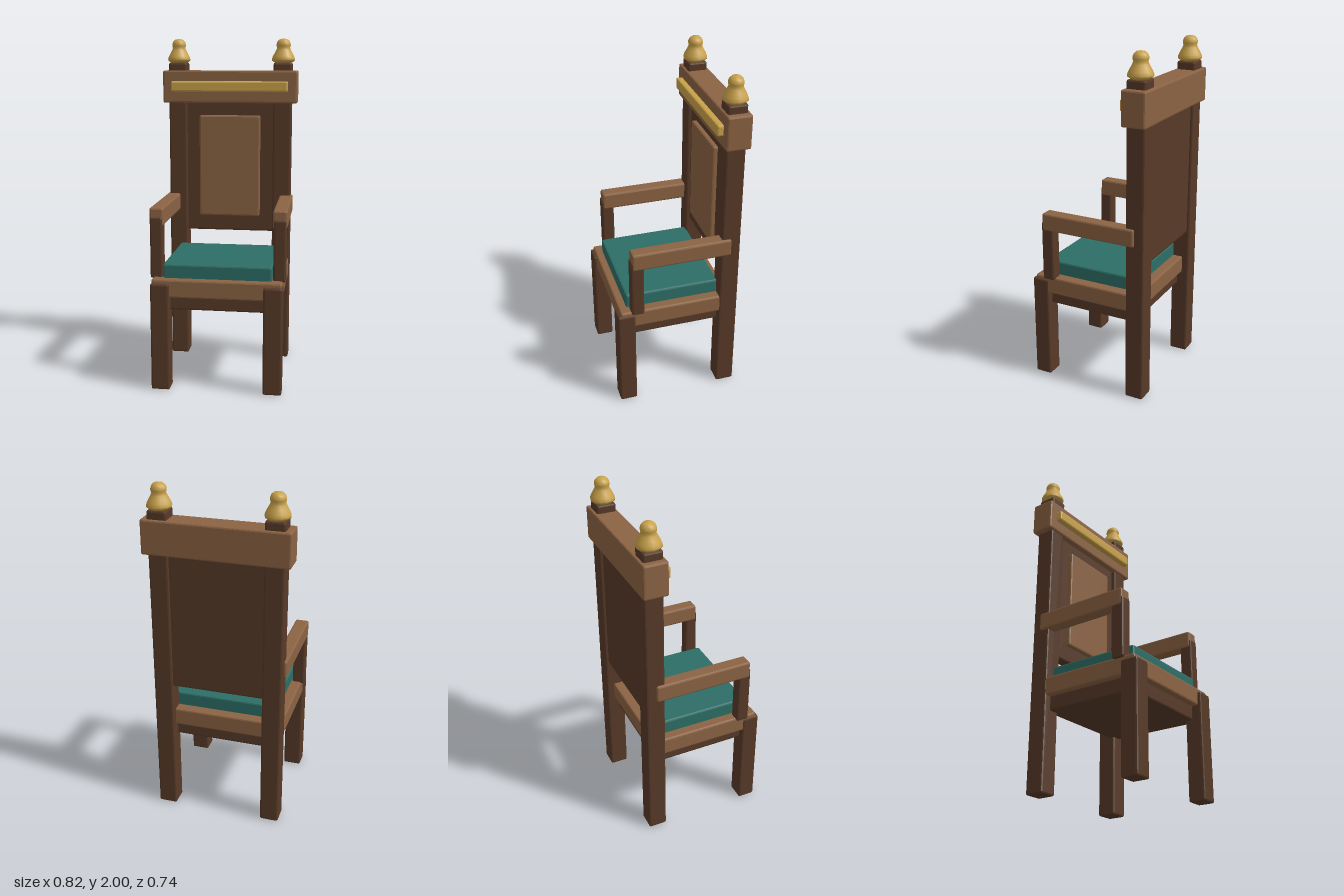
import * as THREE from 'three';
import { RoundedBoxGeometry } from 'three/addons/geometries/RoundedBoxGeometry.js';

const material = (color, flatShading) => new THREE.MeshStandardMaterial({ color, flatShading });

export function createModel() {
  const chair = new THREE.Group();
  chair.name = 'chair';
  const darkWood = material(0x573a28, true);
  const lightWood = material(0x8b6343, true);
  const fabric = material(0x2d6e66, true);
  const brass = material(0xc9a24a, true);
  const finialBrass = material(0xc9a24a, false);

  // Chamfered box given by its limits on each axis
  function box(name, mat, [x0, x1], [y0, y1], [z0, z1], bevel = 0.01) {
    const geometry = new RoundedBoxGeometry(x1 - x0, y1 - y0, z1 - z0, 1, bevel);
    const mesh = new THREE.Mesh(geometry, mat);
    mesh.name = name;
    mesh.position.set((x0 + x1) / 2, (y0 + y1) / 2, (z0 + z1) / 2);
    chair.add(mesh);
  }

  // Seat
  box('apron', darkWood, [-0.33, 0.33], [0.47, 0.56], [-0.28, 0.31]);
  box('seatFrame', lightWood, [-0.37, 0.37], [0.55, 0.655], [-0.31, 0.35]);
  box('cushion', fabric, [-0.31, 0.31], [0.645, 0.735], [-0.25, 0.305]);

  // Backrest
  box('backPanel', darkWood, [-0.28, 0.28], [0.82, 1.64], [-0.335, -0.265]);
  box('backInset', lightWood, [-0.187, 0.187], [0.917, 1.54], [-0.285, -0.237]);
  box('crestRail', lightWood, [-0.41, 0.41], [1.615, 1.81], [-0.368, -0.228]);
  box('crestTrim', brass, [-0.355, 0.355], [1.683, 1.747], [-0.245, -0.193]);

  // Turned finial: bell-shaped base with a ball on top
  const profile = [
    [0, 1.857], [0.052, 1.857], [0.068, 1.868], [0.07, 1.878], [0.064, 1.895],
    [0.053, 1.915], [0.044, 1.932], [0.039, 1.945], [0.043, 1.957], [0.043, 1.968],
    [0.037, 1.983], [0.024, 1.995], [0, 2],
  ].map(([r, y]) => new THREE.Vector2(r, y));
  const finialGeometry = new THREE.LatheGeometry(profile, 12);

  // Mirrored parts
  for (const [side, s] of [['left', 1], ['right', -1]]) {
    const span = (a, b) => (s > 0 ? [a, b] : [-b, -a]);
    box(`${side}FrontLeg`, darkWood, span(0.267, 0.374), [0.005, 0.632], [0.266, 0.368]);
    box(`${side}BackPost`, darkWood, span(0.265, 0.375), [0.005, 1.857], [-0.352, -0.242]);
    box(`${side}ArmPost`, darkWood, span(0.315, 0.387), [0.645, 1.0], [0.216, 0.289]);
    box(`${side}Armrest`, lightWood, span(0.31, 0.39), [0.95, 1.052], [-0.295, 0.282]);

    const finial = new THREE.Mesh(finialGeometry, finialBrass);
    finial.name = `${side}Finial`;
    finial.position.set(s * 0.32, 0, -0.298);
    chair.add(finial);
  }
  return chair;
}
